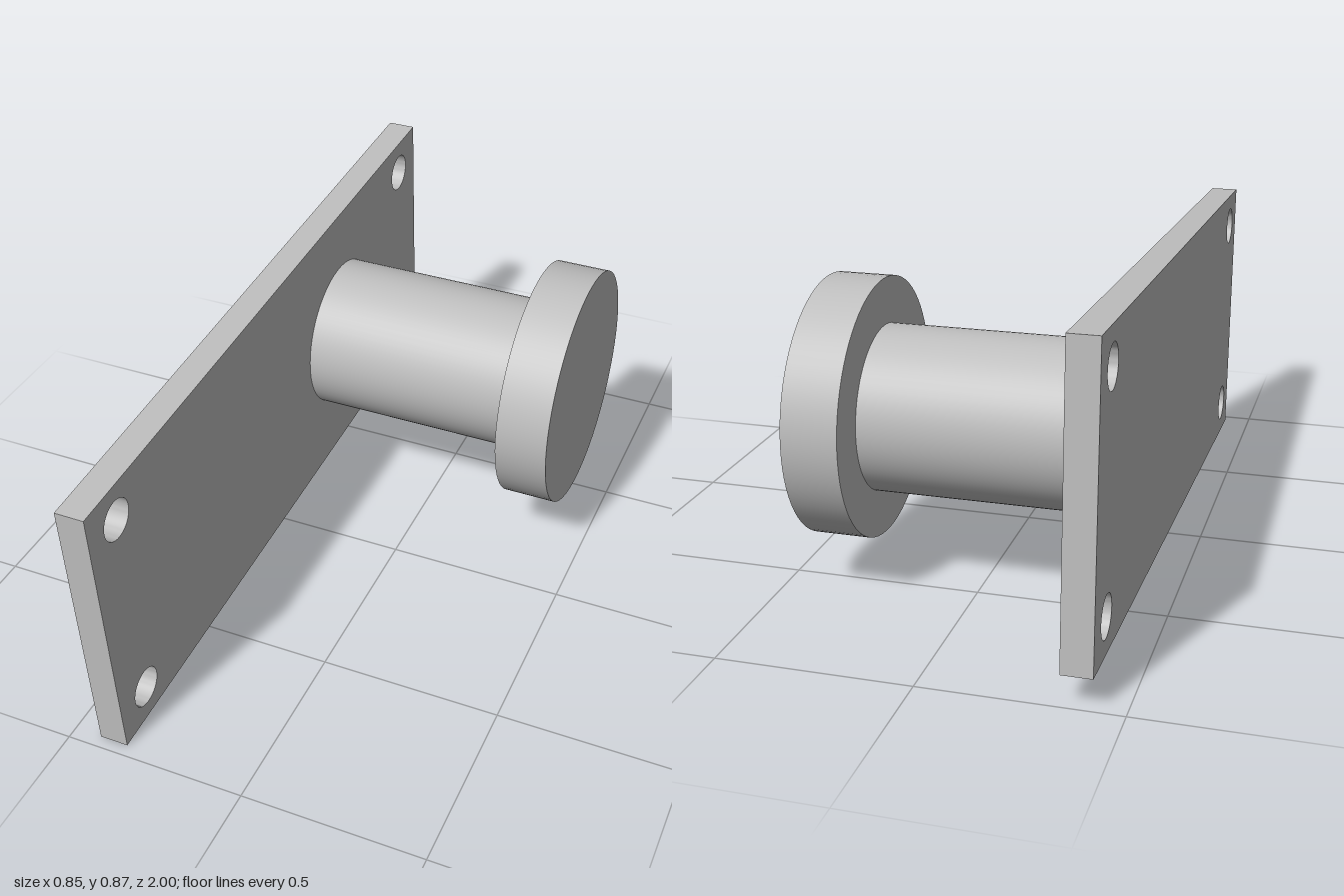
import * as THREE from 'three';
import { toCreasedNormals } from 'three/addons/utils/BufferGeometryUtils.js';

export function createModel() {
  const group = new THREE.Group();
  const steel = new THREE.MeshStandardMaterial({ color: 0xbfbfbf });
  steel.name = 'grey steel';

  const add = (name, geometry) => {
    const mesh = new THREE.Mesh(geometry, steel);
    mesh.name = name;
    group.add(mesh);
    return mesh;
  };

  // Mounting plate with four bolt holes, slightly tilted in its own plane
  const w = 0.984, h = 0.3935, tilt = 0.041;
  const outline = new THREE.Shape([
    new THREE.Vector2(-w, -h), new THREE.Vector2(w, -h),
    new THREE.Vector2(w, h), new THREE.Vector2(-w, h),
  ]);
  for (const sx of [-1, 1]) {
    for (const sy of [-1, 1]) {
      outline.holes.push(new THREE.Path().absarc(sx * 0.863, sy * 0.295, 0.055, 0, Math.PI * 2, true));
    }
  }
  const plate = new THREE.ExtrudeGeometry(outline, { depth: 0.078, bevelEnabled: false, curveSegments: 24 });
  plate.rotateZ(tilt).rotateY(Math.PI / 2);
  add('mountingPlate', toCreasedNormals(plate, 0.6)).position.set(-0.424, 0.4335, 0);

  // Round parts lying along x on a shared axis
  const disc = (name, radius, x0, x1) => {
    const geometry = new THREE.CylinderGeometry(radius, radius, x1 - x0, 72).rotateZ(-Math.PI / 2);
    add(name, geometry).position.set((x0 + x1) / 2, 0.45, -0.395);
  };
  disc('shaft', 0.22, -0.346, 0.276);
  disc('headFlange', 0.343, 0.276, 0.424);

  return group;
}
